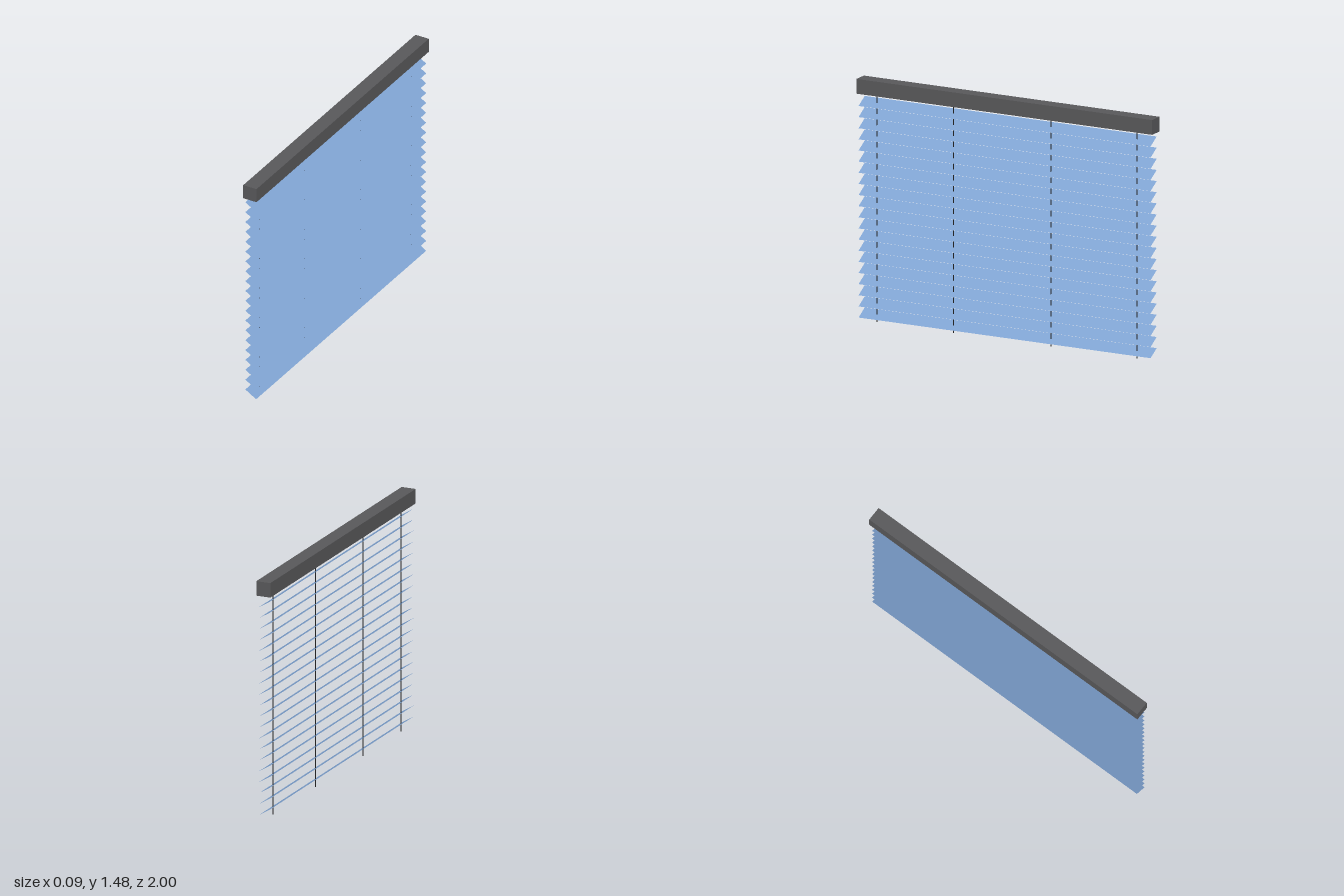
import * as THREE from 'three';

export function createModel() {
  const model = new THREE.Group();
  model.name = 'venetianBlind';

  const headMat = new THREE.MeshStandardMaterial({ color: 0x58585a });
  const slatMat = new THREE.MeshStandardMaterial({ color: 0x7fa3d1, side: THREE.DoubleSide });
  const cordMat = new THREE.MeshStandardMaterial({ color: 0x222222 });

  const add = (name, geometry, material, x, y, z) => {
    const mesh = new THREE.Mesh(geometry, material);
    mesh.name = name;
    mesh.position.set(x, y, z);
    model.add(mesh);
  };

  // Head rail across the top
  const top = 1.478, railHeight = 0.09;
  add('headRail', new THREE.BoxGeometry(0.091, railHeight, 2), headMat, 0, top - railHeight / 2, 0);

  // Thin tilted slats, with the lower edge towards +x
  const slatCount = 20, firstY = 0.046, lastY = 1.335;
  const slatGeo = new THREE.PlaneGeometry(1.975, 0.0866)
    .rotateY(Math.PI / 2)
    .rotateZ(THREE.MathUtils.degToRad(58.7));
  for (let i = 0; i < slatCount; i++) {
    const y = THREE.MathUtils.lerp(firstY, lastY, i / (slatCount - 1));
    add(`slat${i + 1}`, slatGeo, slatMat, 0, y, 0.0025);
  }

  // Ladder cords hanging from the rail through the slats
  const cordLength = top - railHeight;
  const cordGeo = new THREE.BoxGeometry(0.004, cordLength, 0.006);
  [0.888, 0.37, -0.289, -0.872].forEach((z, i) =>
    add(`cord${i + 1}`, cordGeo, cordMat, -0.002, cordLength / 2, z));

  return model;
}
